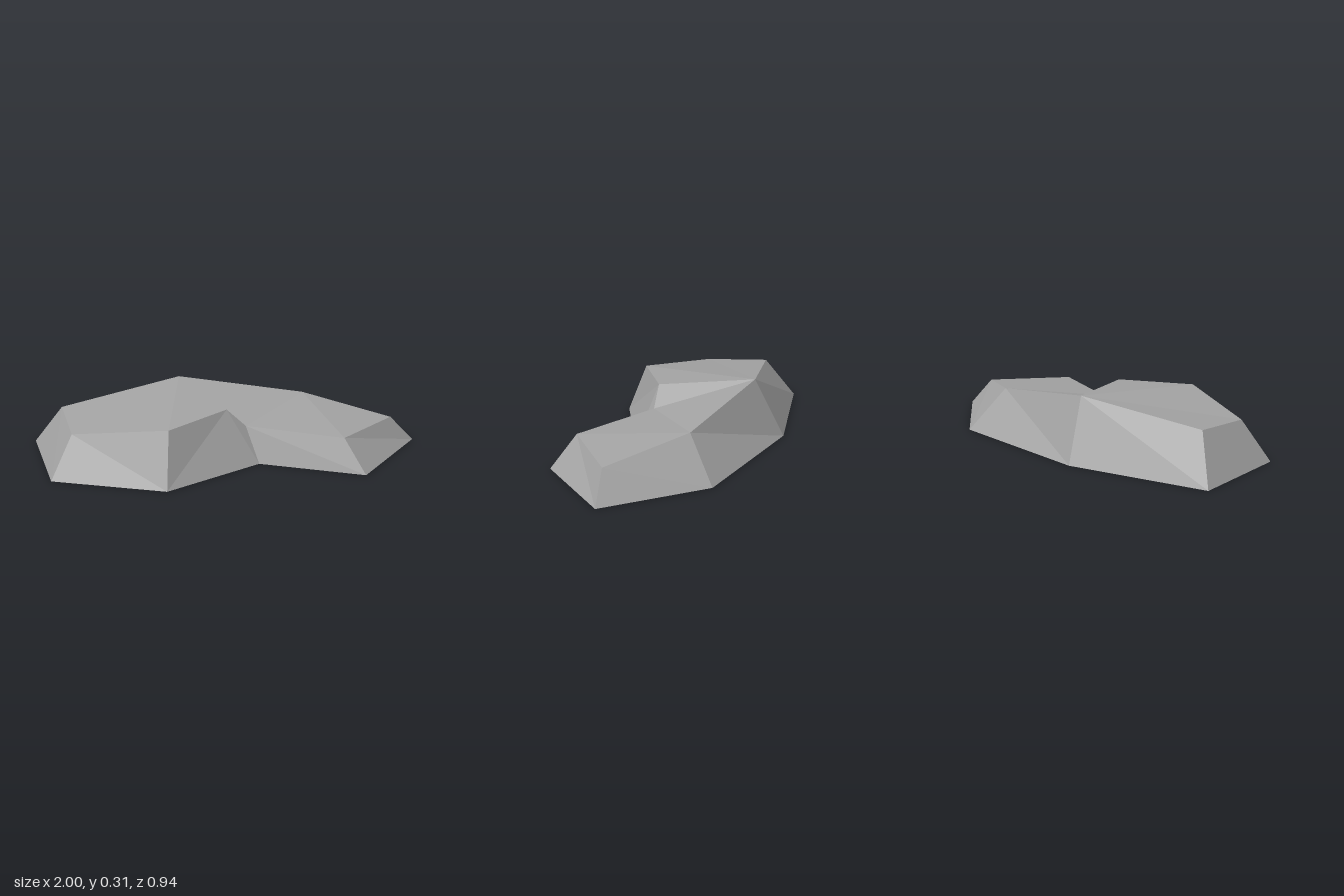
import * as THREE from 'three';

// Foot outline on the ground, counterclockwise from above: [x, z]
const foot = [
  [-1, -0.27], [-0.91, 0.28], [-0.35, 0.47], [0.14, 0.18],
  [0.65, 0.385], [1, -0.06], [0.54, -0.435], [-0.29, -0.475],
];

// Upper rim: [x, y, z]; rim 3 is the top of the ledge and 8 its base
const rim = [
  [-0.85, 0.23, -0.15], [-0.8, 0.207, 0.185], [-0.33, 0.27, 0.35], [-0.02, 0.28, 0.12],
  [0.555, 0.165, 0.285], [0.865, 0.147, -0.025], [0.435, 0.217, -0.27], [-0.225, 0.31, -0.335],
  [0.08, 0.18, 0.1],
];

const F = foot.map(([x, z]) => [x, 0, z]);
const T = rim;

// Flat-shaded surface from a list of triangles
function facets(name, triangles, material) {
  const geometry = new THREE.BufferGeometry();
  geometry.setAttribute('position', new THREE.Float32BufferAttribute(triangles.flat(2), 3));
  geometry.computeVertexNormals();
  const mesh = new THREE.Mesh(geometry, material);
  mesh.name = name;
  return mesh;
}

// Triangles spreading from the first corner
function fan(...points) {
  return points.slice(2).map((p, i) => [points[0], points[i + 1], p]);
}

export function createModel() {
  const stone = new THREE.MeshStandardMaterial({ color: 0xa3a3a3, flatShading: true });
  stone.name = 'grey stone';
  const rock = new THREE.Group();
  rock.name = 'rock';

  // Sloping sides; each fan starts at the corner its diagonal leaves from
  rock.add(facets('sides', [
    ...fan(F[1], T[1], T[0], F[0]),
    ...fan(F[2], T[2], T[1], F[1]),
    ...fan(F[2], F[3], T[3], T[2]),
    ...fan(F[3], T[8], T[3]),
    ...fan(F[4], T[4], T[8], F[3]),
    ...fan(F[5], T[5], T[4], F[4]),
    ...fan(F[6], T[6], T[5], F[5]),
    ...fan(F[7], T[7], T[6], F[6]),
    ...fan(F[0], T[0], T[7], F[7]),
  ], stone));

  // High and low tops with the ledge between them
  rock.add(facets('upperTop', fan(T[7], T[0], T[1], T[2], T[3]), stone));
  rock.add(facets('ledge', fan(T[7], T[3], T[8]), stone));
  rock.add(facets('lowerTop', fan(T[6], T[7], T[8], T[4], T[5]), stone));

  // Flat underside, facing down
  const outline = foot.map(([x, z]) => new THREE.Vector2(x, -z));
  const base = THREE.ShapeUtils.triangulateShape(outline, []);
  rock.add(facets('underside', base.map(([a, b, c]) => [F[a], F[c], F[b]]), stone));

  return rock;
}
